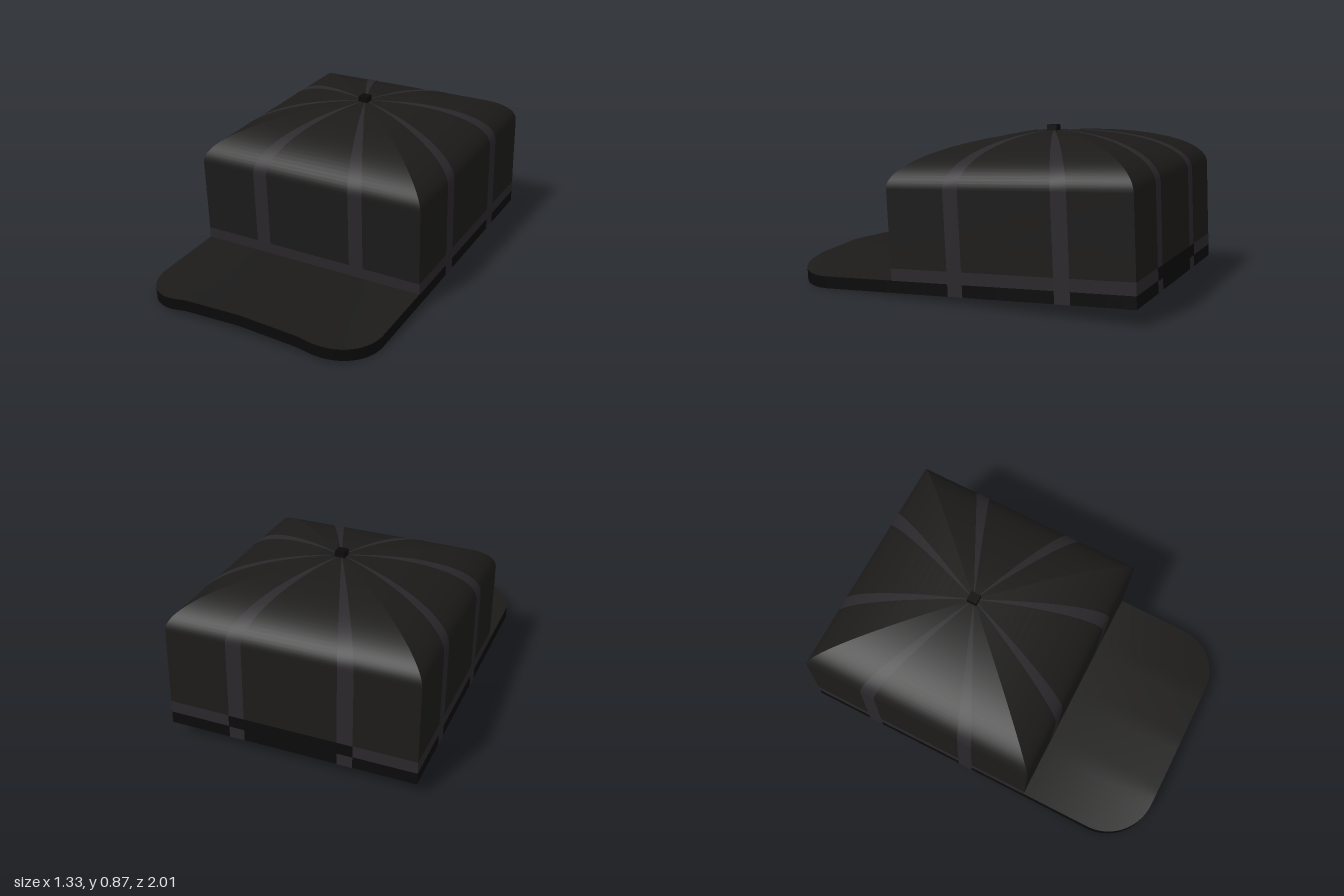
import * as THREE from 'three';

const HALF = 0.664;      // half width of the square crown
const WALL_TOP = 0.545;  // where the walls start to round over
const DOME = 0.243;      // height of the rounded top
const FRONT = 1.335;     // front edge of the visor
const PLATE = 0.065;     // thickness of base and visor
const CORNER = 0.27;     // radius of the visor corners

const mat = (color) => new THREE.MeshStandardMaterial({ color, side: THREE.DoubleSide });
const cloth = mat(0x1c1b1a);
const trim = mat(0x2a272a);
const dark = mat(0x0a0a0a);

function add(parent, name, geometry, material) {
  const mesh = new THREE.Mesh(geometry, material);
  mesh.name = name;
  parent.add(mesh);
  return mesh;
}

// Strip of a crown side from y0 up the wall and over the dome to the centre;
// u0 and u1 run from -1 to 1 across the side.
function crownStrip(u0, u1, y0, offset) {
  const rows = 25;
  const g = new THREE.PlaneGeometry(1, 1, 1, rows);
  const p = g.attributes.position;
  for (let i = 0; i < p.count; i++) {
    const u = THREE.MathUtils.lerp(u0, u1, p.getX(i) + 0.5);
    const row = Math.round((p.getY(i) + 0.5) * rows);
    const a = Math.max(0, row - 1) / (rows - 1) * Math.PI / 2;
    const h = (HALF + offset) * Math.cos(a);
    const y = row === 0 ? y0 : WALL_TOP + (DOME + offset) * Math.sin(a);
    p.setXYZ(i, u * h, y, h);
  }
  g.computeVertexNormals();
  return g;
}

// Flat strip around the foot of a crown side
function bandStrip(u0, u1, y0, y1, offset) {
  const h = HALF + offset;
  const g = new THREE.PlaneGeometry((u1 - u0) * h, y1 - y0);
  g.translate((u0 + u1) / 2 * h, (y0 + y1) / 2, h);
  return g;
}

// Slab with rounded front corners. The top arches upward from the crown's
// front, the underside already from the middle of the crown.
function visorSlab(zBack, y0, y1) {
  const n = 48;
  const g = new THREE.BoxGeometry(2, 1, 1, 24, 1, n);
  const p = g.attributes.position;
  const zc = FRONT - CORNER;
  for (let i = 0; i < p.count; i++) {
    const s = Math.round((p.getZ(i) + 0.5) * n) / n;
    const a = Math.max(0, s - 0.5) * Math.PI;
    const z = s <= 0.5 ? THREE.MathUtils.lerp(zBack, zc, s * 2) : zc + CORNER * Math.sin(a);
    const x = p.getX(i) * (HALF - CORNER + CORNER * Math.cos(a));
    const bottom = p.getY(i) < 0;
    const start = bottom ? Math.max(0, zBack) : HALF;
    const rise = Math.max(0, (z - start) / (FRONT - start));
    // Three-part bend: gentle in the middle, steeper towards the sides
    const u = Math.abs(x) / HALF;
    const arch = u < 0.5 ? 0.072 - 0.03 * u : 0.114 * (1 - u);
    p.setXYZ(i, x, (bottom ? y0 : y1) + rise * arch, z);
  }
  g.computeVertexNormals();
  return g;
}

export function createModel() {
  const model = new THREE.Group();
  model.name = 'cap';
  const cap = new THREE.Group();
  cap.name = 'tiltedCap';
  cap.position.set(0, 0.056, -0.335);
  cap.rotation.x = 0.05;
  model.add(cap);

  // Base plate with visor, and the cloth on top of the visor
  add(cap, 'visorBase', visorSlab(-HALF, 0, PLATE), dark);
  add(cap, 'visorCover', visorSlab(HALF, PLATE, PLATE + 0.003), cloth);

  // Four crown sides: front, left, back, right
  ['front', 'left', 'back', 'right'].forEach((name, i) => {
    const side = new THREE.Group();
    side.name = name + 'Side';
    side.rotation.y = i * Math.PI / 2;
    cap.add(side);
    add(side, 'crownPanel', crownStrip(-1, 1, PLATE, 0), cloth);

    // Two tapering seams, running down over the plate except above the visor
    for (const s of [-1, 1]) {
      const [a, b] = s < 0 ? [-0.5, -0.375] : [0.375, 0.5];
      add(side, 'seam', crownStrip(a, b, name === 'front' ? PLATE : 0, 0.002), trim);
    }

    // Band round the foot, interrupted by the closure at the back
    if (name === 'back') {
      add(side, 'band', bandStrip(-1, -0.5, PLATE, 0.13, 0.001), trim);
      add(side, 'band', bandStrip(0.5, 1, PLATE, 0.13, 0.001), trim);
      add(side, 'backClosure', bandStrip(-0.5, 0.5, PLATE, 0.13, 0.004), dark);
    } else {
      add(side, 'band', bandStrip(-1, 1, PLATE, 0.13, 0.001), trim);
    }
  });

  // Button on top and the small tag underneath
  add(cap, 'topButton', new THREE.BoxGeometry(0.055, 0.05, 0.055), dark).position.y = 0.794;
  add(cap, 'undersideTag', new THREE.BoxGeometry(0.3, 0.01, 0.08), mat(0x040404))
    .position.set(-0.13, 0.012, 0.235);

  return model;
}
